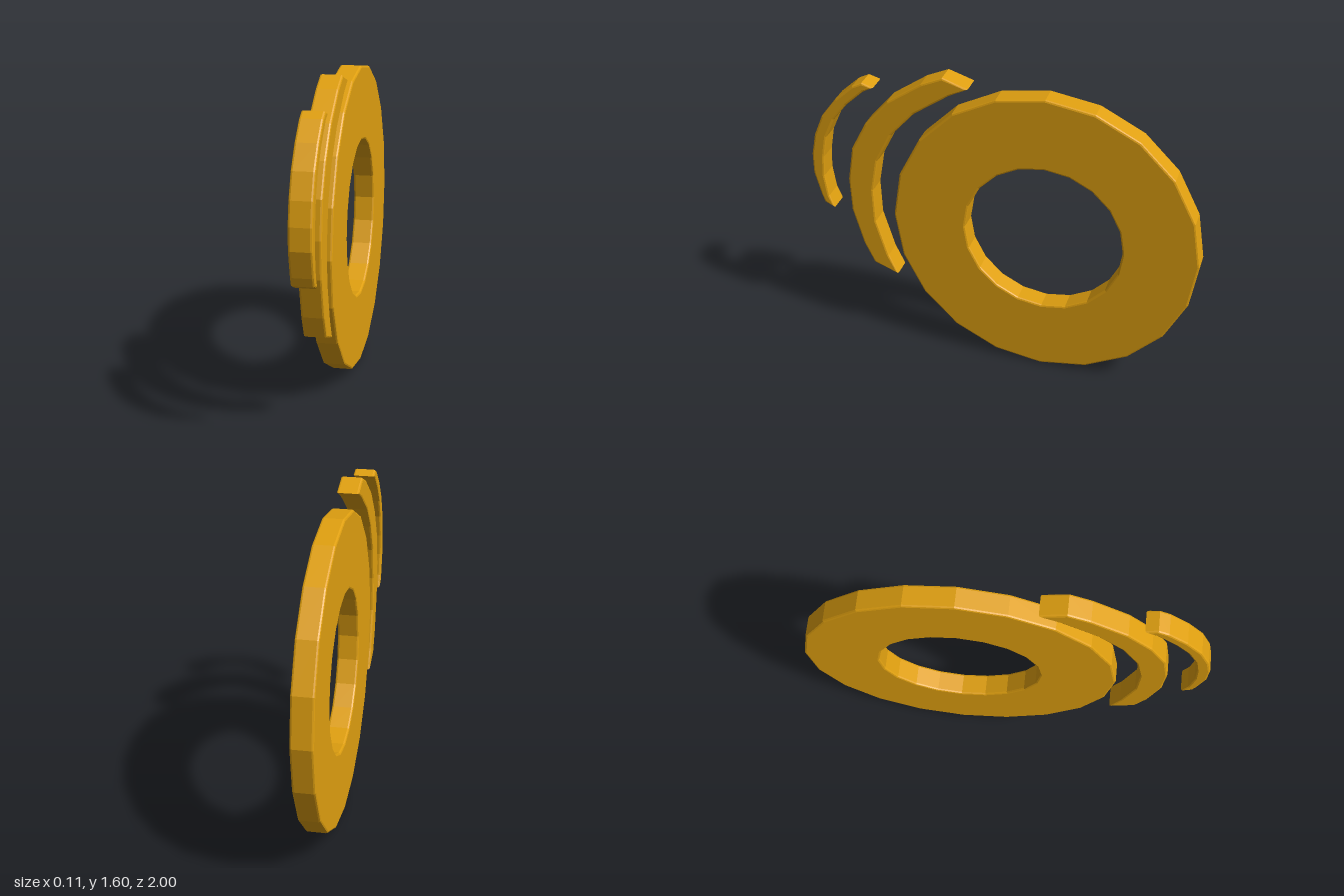
import * as THREE from 'three';

const THICKNESS = 0.11, BEVEL = 0.01;

export function createModel() {
  const group = new THREE.Group();
  const material = new THREE.MeshStandardMaterial({ color: 0xe0a010, flatShading: true });

  // Bevelled plate whose outline is drawn in (z, y) and which is thick along x
  function addPlate(name, shape) {
    const geometry = new THREE.ExtrudeGeometry(shape, {
      depth: THICKNESS - 2 * BEVEL, steps: 1,
      bevelEnabled: true, bevelThickness: BEVEL, bevelSize: BEVEL, bevelOffset: -BEVEL, bevelSegments: 2,
    });
    geometry.translate(0, 0, -THICKNESS / 2 + BEVEL);
    geometry.rotateY(-Math.PI / 2);
    const mesh = new THREE.Mesh(geometry, material);
    mesh.name = name;
    group.add(mesh);
  }

  const toPoints = list => list.map(([z, y]) => new THREE.Vector2(z, y));
  const polygon = (radius, sides = 20) => Array.from({ length: sides }, (_, i) => {
    const a = i / sides * Math.PI * 2;
    return new THREE.Vector2(-0.215 + radius * Math.cos(a), 0.787 + radius * Math.sin(a));
  });

  // Twenty-sided ring with a round opening
  const ring = new THREE.Shape(polygon(0.783));
  ring.holes.push(new THREE.Path(polygon(0.404).reverse()));
  addPlate('ring', ring);

  // Large wave: outer edge downwards, then inner edge back up
  addPlate('largeWave', new THREE.Shape(toPoints([
    [0.163, 1.563], [0.29, 1.605], [0.398, 1.556], [0.575, 1.433], [0.698, 1.289], [0.778, 1.134],
    [0.807, 0.952], [0.8, 0.77], [0.746, 0.572], [0.693, 0.46], [0.564, 0.412],
    [0.612, 0.519], [0.671, 0.722], [0.676, 0.909], [0.644, 1.086], [0.564, 1.246], [0.441, 1.385], [0.26, 1.512],
  ])));

  // Small wave, in front of the large one
  addPlate('smallWave', new THREE.Shape(toPoints([
    [0.644, 1.495], [0.703, 1.513], [0.754, 1.487], [0.848, 1.401], [0.928, 1.294], [0.976, 1.177],
    [0.998, 1.065], [0.998, 0.957], [0.965, 0.829], [0.949, 0.786], [0.896, 0.762],
    [0.922, 0.829], [0.939, 0.947], [0.933, 1.06], [0.912, 1.177], [0.864, 1.284], [0.794, 1.375], [0.698, 1.465],
  ])));

  return group;
}
